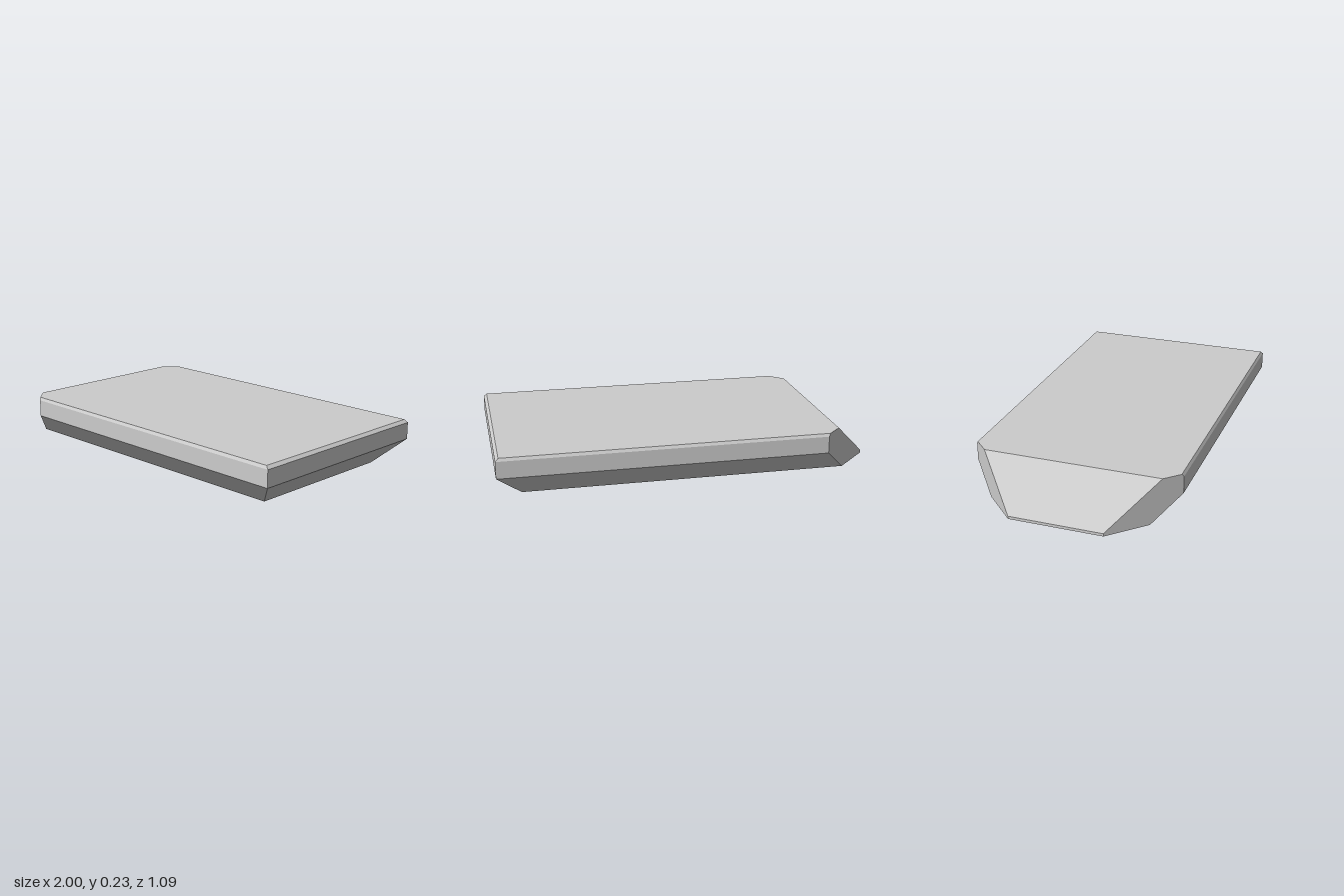
import * as THREE from 'three';
import { ConvexGeometry } from 'three/addons/geometries/ConvexGeometry.js';

// The clipped corners lie on the vertical planes |z| = x + CORNER
const CORNER = 1.245;

// Levels of the slab from bottom to top: height, nose x, tail x, half width
const LEVELS = [
  { y: 0, nose: -1, tail: 0.87, half: 0.418 },
  { y: 0.015, nose: -1 },
  { y: 0.13, tail: 1, half: 0.545 },
  { y: 0.219, tail: 1, half: 0.545 },
  { y: 0.234, nose: -0.781, tail: 0.984, half: 0.536 },
];

export function createModel() {
  const group = new THREE.Group();
  group.name = 'bevelledSlab';

  // Corner points of one half, mirrored across z = 0
  const points = [];
  const addPair = (x, y, z) => {
    for (const side of [1, -1]) points.push(new THREE.Vector3(x, y, side * z));
  };
  for (const { y, nose, tail, half } of LEVELS) {
    if (nose !== undefined) addPair(nose, y, nose + CORNER); // nose edge
    if (half !== undefined) {
      addPair(half - CORNER, y, half); // clipped corner meets the long side
      addPair(tail, y, half); // tail corner
    }
  }

  // Faceted solid body
  const material = new THREE.MeshStandardMaterial({ color: 0xcccccc, flatShading: true });
  const body = new THREE.Mesh(new ConvexGeometry(points), material);
  body.name = 'slabBody';
  group.add(body);

  return group;
}
